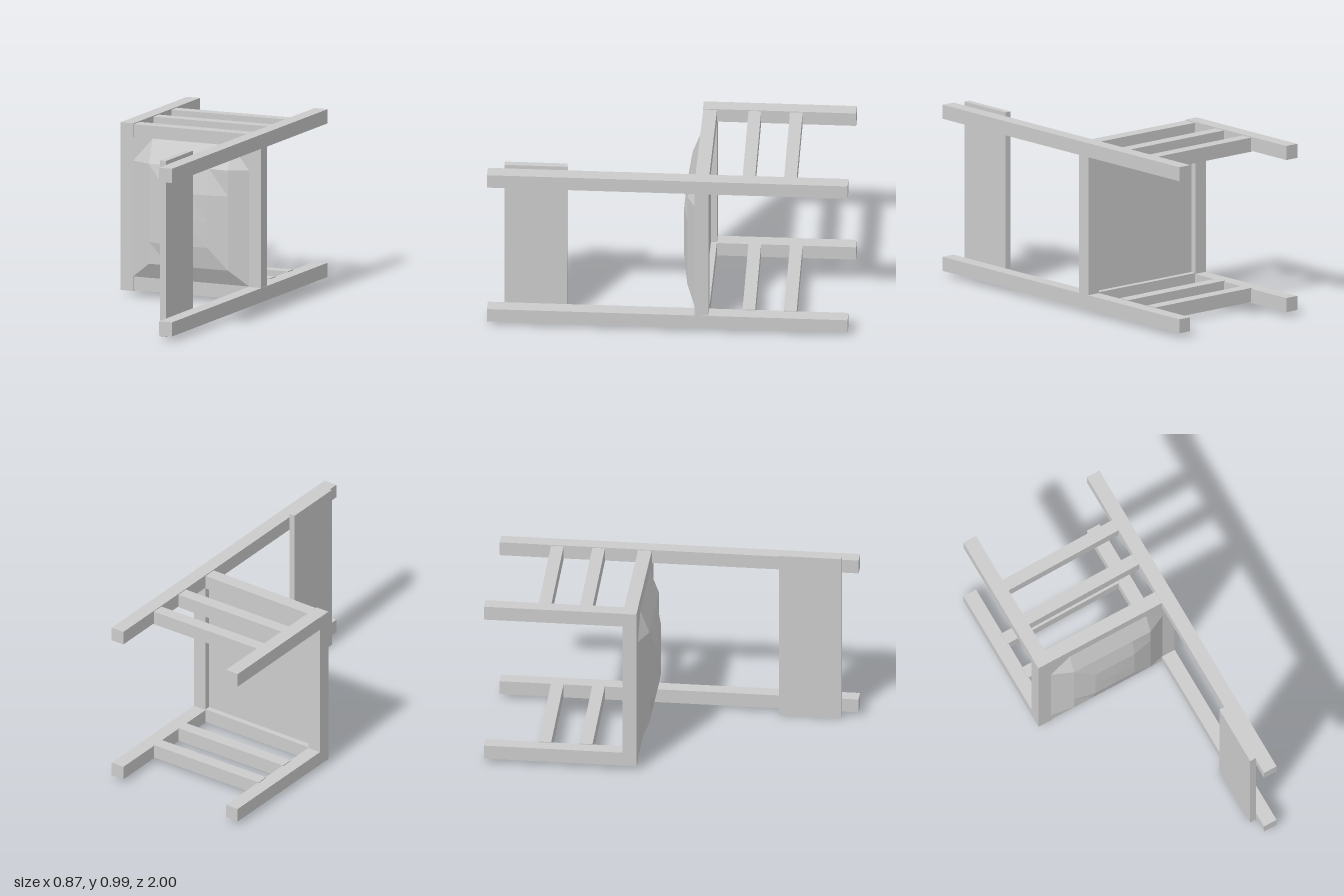
import * as THREE from 'three';

const material = new THREE.MeshStandardMaterial({ color: 0xcccccc, flatShading: true });

// Box given by its extents along each axis
function bar(group, name, [x0, x1], [y0, y1], [z0, z1]) {
  const mesh = new THREE.Mesh(new THREE.BoxGeometry(x1 - x0, y1 - y0, z1 - z0), material);
  mesh.position.set((x0 + x1) / 2, (y0 + y1) / 2, (z0 + z1) / 2);
  mesh.name = name;
  group.add(mesh);
  return mesh;
}

// Faceted cushion: a grid raised ring by ring towards the middle
function cushionGeometry() {
  const xs = [-0.355, -0.235, -0.115, 0.01, 0.135, 0.25, 0.355];
  const ys = [0.108, 0.197, 0.32, 0.465, 0.615, 0.76, 0.893];
  const heights = [-0.15, -0.1, -0.075, -0.07];
  const n = xs.length;
  const positions = [];
  const index = [];
  for (let j = 0; j < n; j++) {
    for (let i = 0; i < n; i++) {
      const ring = Math.min(i, j, n - 1 - i, n - 1 - j);
      positions.push(xs[i], ys[j], heights[ring]);
    }
  }
  for (let j = 0; j < n - 1; j++) {
    for (let i = 0; i < n - 1; i++) {
      const a = j * n + i, b = a + 1, c = a + n + 1, d = a + n;
      // the two left corners are split the other way
      const rising = i === 0 && j === 0;
      if (rising) index.push(a, b, c, a, c, d);
      else if (i === 0 && j === n - 2) index.push(a, b, c, a, c, d);
      else index.push(a, b, d, b, c, d);
    }
  }
  const geometry = new THREE.BufferGeometry();
  geometry.setAttribute('position', new THREE.Float32BufferAttribute(positions, 3));
  geometry.setIndex(index);
  geometry.computeVertexNormals();
  return geometry;
}

// A chair lying on its side, with its legs pointing to -z and its back to +z
export function createModel() {
  const group = new THREE.Group();
  group.name = 'chair';

  const sides = [
    { side: 'lower', post: [0.025, 0.105], rail: [0.03, 0.11] },
    { side: 'upper', post: [0.89, 0.97], rail: [0.885, 0.965] },
  ];
  for (const { side, post, rail } of sides) {
    // legs; the rear one runs on into the backrest
    bar(group, `${side}BackPost`, [0.352, 0.432], post, [-1, 1]);
    bar(group, `${side}FrontLeg`, [-0.432, -0.352], post, [-1, -0.15]);

    // seat side rail and the two stretchers below it, slightly askew
    bar(group, `${side}SeatRail`, [-0.36, 0.36], rail, [-0.228, -0.152]);
    [-0.443, -0.673].forEach((z, i) => {
      const stretcher = bar(group, `${side}Stretcher${i + 1}`, [-0.358, 0.358], rail, [z - 0.035, z + 0.035]);
      stretcher.rotation.y = 0.014;
    });
  }

  // seat frame across the chair
  bar(group, 'frontSeatRail', [-0.434, -0.355], [0.03, 0.967], [-0.228, -0.15]);
  bar(group, 'backSeatRail', [0.352, 0.43], [0.1, 0.895], [-0.228, -0.15]);

  // seat panel set into the frame, with the raised cushion on it
  bar(group, 'seatPanel', [-0.36, 0.36], [0.1, 0.895], [-0.195, -0.152]);
  const cushion = new THREE.Mesh(cushionGeometry(), material);
  cushion.name = 'seatCushion';
  group.add(cushion);

  // backrest board fixed to the inside of the posts
  bar(group, 'backrest', [0.316, 0.352], [0, 0.992], [0.56, 0.908]);

  return group;
}
